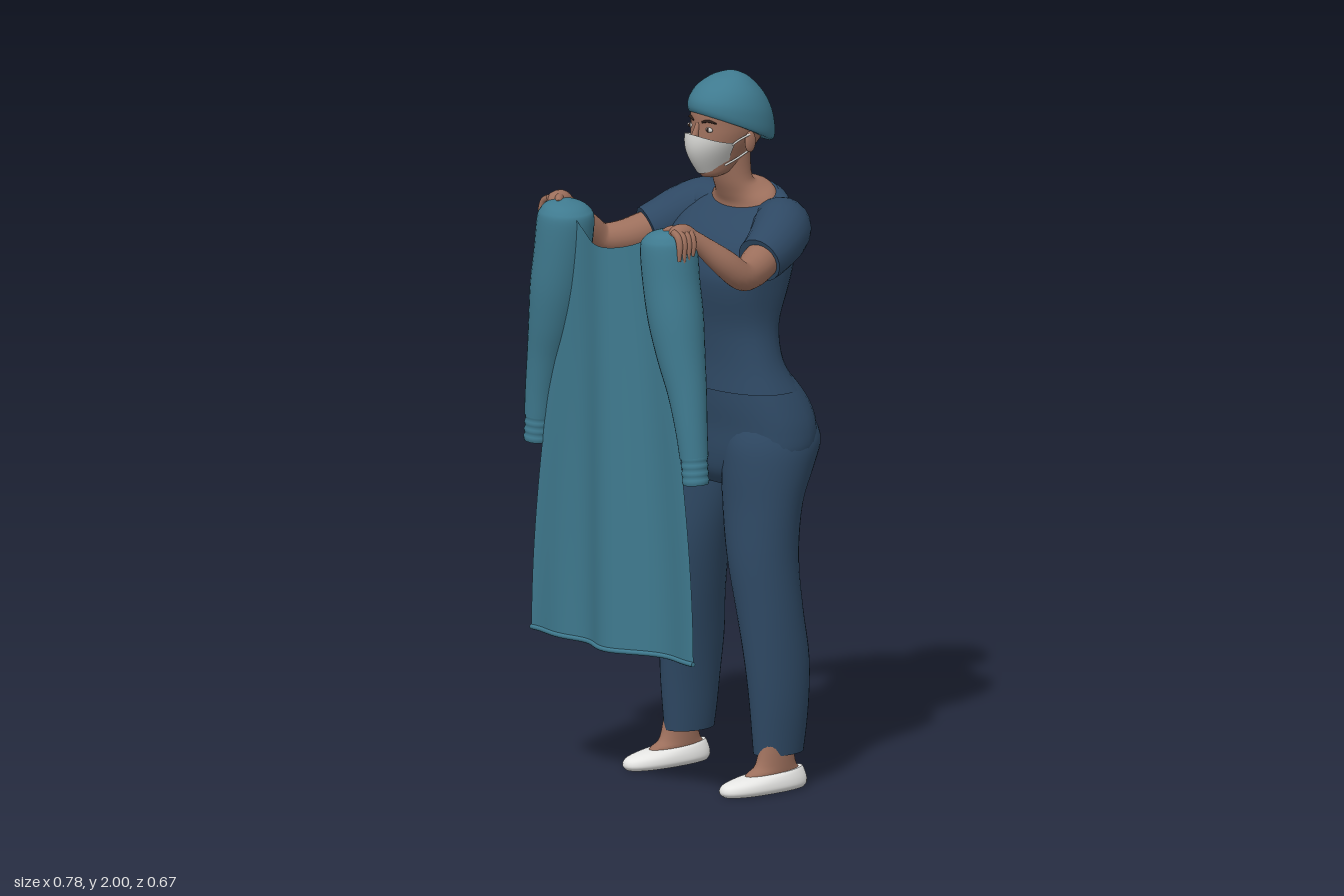
import * as THREE from 'three';
import { ParametricGeometry } from 'three/addons/geometries/ParametricGeometry.js';

const mat = (name, color, side = THREE.FrontSide) => {
  const m = new THREE.MeshStandardMaterial({ color, side });
  m.name = name;
  return m;
};

// Catmull-Rom through rows of numbers
function smooth(rows, sub) {
  const out = [], last = rows.length - 1;
  for (let i = 0; i < last; i++) {
    const a = rows[Math.max(i - 1, 0)], b = rows[i], c = rows[i + 1], d = rows[Math.min(i + 2, last)];
    for (let k = 0; k < sub; k++) {
      const t = k / sub;
      out.push(b.map((v, j) => v + 0.5 * t * (c[j] - a[j] + t * (2 * a[j] - 5 * v + 4 * c[j] - d[j]
        + t * (3 * (v - c[j]) + d[j] - a[j])))));
    }
  }
  out.push(rows[last]);
  return out;
}

// Closed skin over rings of points, with flat end caps
function skin(rings) {
  const n = rings[0].length;
  const centre = (ring) => {
    const c = ring.reduce((s, p) => s.add(p), new THREE.Vector3()).divideScalar(n);
    return ring.map(() => c);
  };
  const first = rings[0], end = rings[rings.length - 1];
  const all = [centre(first), first, ...rings, end, centre(end)];
  const index = [];
  for (let i = 0; i < all.length - 1; i++) {
    if (i === 1 || i === all.length - 3) continue;
    for (let j = 0; j < n; j++) {
      const k = (j + 1) % n, a = i * n + j, b = i * n + k;
      index.push(a, b, b + n, a, b + n, a + n);
    }
  }
  const g = new THREE.BufferGeometry().setFromPoints(all.flat());
  g.setIndex(index);
  g.computeVertexNormals();
  return g;
}

// Upright body: rows, upwards, of [y, halfWidth, frontZ, backZ, frontLift, roundness]
function loft(rows, cx = 0, sub = 4, n = 36) {
  const full = rows.map(([y, w, f, b, t = 0, e = 2]) => [y, w, f, b, t, e]);
  return skin(smooth(full, sub).map(([y, w, f, b, t, e]) => Array.from({ length: n }, (_, j) => {
    const a = (j / n) * Math.PI * 2, c = Math.cos(a), s = -Math.sin(a);
    const x = Math.sign(c) * Math.abs(c) ** (2 / e), z = Math.sign(s) * Math.abs(s) ** (2 / e);
    return new THREE.Vector3(cx + w * x, y + t * z, (f + b) / 2 + z * (f - b) / 2);
  })));
}

// Limb: points of [x, y, z, radius]
function limb(points, side = 1, ref = new THREE.Vector3(0, 1, 0), sub = 5, n = 20) {
  const rows = smooth(points.map(([x, y, z, r]) => [x * side, y, z, r]), sub);
  const pos = rows.map((r) => new THREE.Vector3(r[0], r[1], r[2]));
  return skin(rows.map((row, i) => {
    const t = pos[Math.min(i + 1, pos.length - 1)].clone().sub(pos[Math.max(i - 1, 0)]).normalize();
    const u = ref.clone().cross(t).normalize(), v = t.clone().cross(u);
    return Array.from({ length: n }, (_, j) => {
      const a = (j / n) * Math.PI * 2;
      return pos[i].clone().addScaledVector(u, row[3] * Math.cos(a)).addScaledVector(v, row[3] * Math.sin(a));
    });
  }));
}

export function createModel() {
  const teal = mat('teal cloth', 0x3f7a8f, THREE.DoubleSide);
  const navy = mat('navy cloth', 0x2e4863);
  const flesh = mat('skin', 0x9c6f5c);
  const white = mat('shoe white', 0xe6e6e4);
  const paper = mat('mask white', 0xcbcbc8, THREE.DoubleSide);
  const dark = mat('dark brown', 0x2b1d18);
  const model = new THREE.Group();
  const add = (name, geometry, material) => {
    const m = new THREE.Mesh(geometry, material);
    m.name = name;
    model.add(m);
    return m;
  };
  const blob = (name, material, pos, size) => {
    const m = add(name, new THREE.SphereGeometry(1, 20, 14), material);
    m.position.set(...pos);
    m.scale.set(...size);
  };
  const alongZ = new THREE.Vector3(0, 0, 1);

  // Torso
  add('shirt', loft([
    [1.12, 0.23, -0.03, -0.285, 0, 2.3], [1.2, 0.2, -0.032, -0.242, 0, 2.2],
    [1.3, 0.183, -0.022, -0.24, 0, 2.2], [1.4, 0.193, -0.002, -0.262, 0, 2.6],
    [1.46, 0.2, 0, -0.275, 0, 2.7], [1.53, 0.203, -0.025, -0.285, 0, 2.5],
    [1.59, 0.195, -0.07, -0.287, -0.01, 2.3], [1.635, 0.16, -0.115, -0.278, -0.025, 2.1],
    [1.648, 0.125, -0.133, -0.262, -0.03, 2]]), navy);
  add('neckAndChest', loft([
    [1.59, 0.14, -0.12, -0.265, -0.03], [1.648, 0.118, -0.132, -0.255, -0.03],
    [1.672, 0.08, -0.12, -0.235, -0.02], [1.7, 0.061, -0.1, -0.205], [1.78, 0.058, -0.08, -0.2]]), flesh);
  add('trouserSeat', loft([
    [0.84, 0.09, -0.09, -0.22], [0.88, 0.19, -0.06, -0.27], [0.94, 0.255, -0.05, -0.318, 0, 2.2],
    [1.01, 0.258, -0.048, -0.333, 0, 2.3], [1.08, 0.24, -0.04, -0.318, 0, 2.3],
    [1.15, 0.212, -0.036, -0.272, 0, 2.2], [1.18, 0.19, -0.04, -0.235]]), navy);

  // Head
  add('head', loft([
    [1.712, 0.025, -0.05, -0.1], [1.725, 0.042, -0.04, -0.14], [1.75, 0.055, -0.03, -0.185],
    [1.785, 0.07, -0.023, -0.215], [1.82, 0.086, -0.024, -0.24], [1.86, 0.096, -0.028, -0.255],
    [1.91, 0.096, -0.035, -0.255], [1.96, 0.06, -0.09, -0.2]]), flesh);
  add('nose', limb([[0, 1.868, -0.032, 0.006], [0, 1.84, -0.022, 0.009], [0, 1.815, -0.015, 0.012]], 1, alongZ), flesh);
  add('cap', loft([
    [1.842, 0.1, -0.036, -0.262, 0.052], [1.846, 0.107, -0.026, -0.274, 0.05],
    [1.87, 0.11, -0.02, -0.277, 0.042], [1.91, 0.106, -0.026, -0.266, 0.026],
    [1.95, 0.088, -0.05, -0.24, 0.014], [1.982, 0.056, -0.088, -0.202, 0.004],
    [1.996, 0.025, -0.125, -0.17], [2, 0.004, -0.143, -0.151]]), teal);

  // Face mask, curved round the chin and cheeks
  add('faceMask', new ParametricGeometry((u, v, p) => {
    const a = (u * 2 - 1) * 1.4, s2 = Math.sin(a) ** 2, front = -0.035 + 0.036 * Math.sin(v * 2.2);
    p.set((0.05 + 0.04 * v) * Math.sin(a), 1.723 + 0.115 * v + s2 * (0.022 - 0.044 * v),
      -0.11 + (front + 0.11) * Math.cos(a));
  }, 24, 10), paper);

  for (const s of [1, -1]) {
    const side = s > 0 ? 'left' : 'right';

    // Face details
    blob(side + 'Ear', flesh, [0.095 * s, 1.815, -0.14], [0.009, 0.03, 0.018]);
    blob(side + 'Eye', paper, [0.04 * s, 1.853, -0.038], [0.015, 0.007, 0.006]);
    blob(side + 'Iris', dark, [0.04 * s, 1.853, -0.034], [0.006, 0.006, 0.004]);
    add(side + 'Eyebrow', limb([[0.018, 1.872, -0.031, 0.003], [0.04, 1.878, -0.036, 0.004],
      [0.06, 1.872, -0.048, 0.002]], s), dark);
    add(side + 'UpperStrap', limb([[0.085, 1.812, -0.085, 0.003], [0.092, 1.825, -0.105, 0.003],
      [0.1, 1.838, -0.135, 0.003]], s), paper);
    add(side + 'LowerStrap', limb([[0.052, 1.748, -0.085, 0.003], [0.076, 1.77, -0.112, 0.003],
      [0.097, 1.797, -0.145, 0.003]], s), paper);

    // Arm
    add(side + 'ShirtSleeve', limb([[0.11, 1.585, -0.21, 0.065], [0.165, 1.58, -0.195, 0.082],
      [0.205, 1.56, -0.15, 0.08], [0.232, 1.535, -0.095, 0.072], [0.248, 1.518, -0.05, 0.066]], s), navy);
    add(side + 'Arm', limb([[0.23, 1.535, -0.1, 0.05], [0.255, 1.515, -0.045, 0.052],
      [0.285, 1.5, 0.01, 0.046], [0.312, 1.502, 0.065, 0.04], [0.308, 1.545, 0.12, 0.038],
      [0.288, 1.598, 0.18, 0.028], [0.274, 1.635, 0.225, 0.022]], s), flesh);

    // Hand holding the gown at its shoulder
    add(side + 'Palm', limb([[0.277, 1.628, 0.212, 0.021], [0.272, 1.64, 0.235, 0.026],
      [0.27, 1.638, 0.26, 0.026], [0.268, 1.63, 0.278, 0.014]], s), flesh);
    for (let i = 0; i < 4; i++) {
      const z = 0.229 + i * 0.016;
      add(side + 'Finger' + (i + 1), limb([[0.276, 1.65, z, 0.009], [0.298, 1.637, z, 0.01],
        [0.308, 1.61, z + 0.002, 0.009], [0.308, 1.565 + 0.008 * Math.abs(i - 2), z + 0.004, 0.005]], s, alongZ, 4, 10), flesh);
    }
    add(side + 'Thumb', limb([[0.272, 1.645, 0.24, 0.013], [0.25, 1.65, 0.262, 0.012],
      [0.233, 1.645, 0.277, 0.006]], s), flesh);

    // Leg and shoe
    add(side + 'TrouserLeg', loft([
      [0.1, 0.055, -0.08, -0.235], [0.2, 0.064, -0.072, -0.248], [0.36, 0.075, -0.06, -0.258],
      [0.5, 0.086, -0.05, -0.245], [0.65, 0.1, -0.04, -0.24], [0.8, 0.12, -0.045, -0.258],
      [0.9, 0.13, -0.046, -0.3], [0.98, 0.125, -0.055, -0.328], [1.06, 0.09, -0.09, -0.29]].map((r) => r), 0, 4)
      .applyMatrix4(new THREE.Matrix4()), navy);
    const leg = model.children[model.children.length - 1].geometry.attributes.position;
    for (let i = 0; i < leg.count; i++) {
      const y = leg.getY(i);
      leg.setX(i, leg.getX(i) + s * (0.198 - 0.066 * THREE.MathUtils.smoothstep(y, 0.2, 0.9)));
    }
    add(side + 'Foot', loft([[0.03, 0.034, -0.02, -0.215], [0.052, 0.036, -0.035, -0.215],
      [0.075, 0.036, -0.07, -0.2], [0.15, 0.035, -0.09, -0.185]], 0.213 * s), flesh);
    add(side + 'Shoe', loft([[0, 0.045, 0.045, -0.228, 0, 2.3], [0.012, 0.056, 0.056, -0.235, 0, 2.3],
      [0.03, 0.054, 0.048, -0.235, 0, 2.2], [0.045, 0.046, 0.015, -0.23, -0.004],
      [0.053, 0.037, -0.03, -0.224, -0.005]], 0.215 * s), white);

    // Hanging gown sleeve and its ribbed cuff
    add(side + 'GownSleeve', limb([[0.345, 1.02, 0.258, 0.04], [0.333, 1.1, 0.258, 0.045],
      [0.312, 1.2, 0.256, 0.055], [0.285, 1.3, 0.256, 0.068], [0.262, 1.4, 0.256, 0.078],
      [0.242, 1.5, 0.256, 0.08], [0.229, 1.595, 0.255, 0.08], [0.226, 1.625, 0.255, 0.069],
      [0.224, 1.642, 0.255, 0.045], [0.223, 1.65, 0.255, 0.006]], s, alongZ, 5, 28), teal);
    const ribs = Array.from({ length: 9 }, (_, i) =>
      [0.353 - i * 0.001, 0.945 + i * 0.0105, 0.258, i % 2 ? 0.0385 : 0.0355]);
    add(side + 'GownCuff', limb(ribs, s, alongZ, 2), teal);
  }

  // Gown front panel, widening downwards with soft folds
  const panelPoint = (u, v, p) => {
    const k = u * 2 - 1, x = k * (0.16 + 0.213 * (1 - (1 - v) ** 1.7));
    const top = 1.565 + 0.045 * k * k, bottom = 0.426 + 0.014 * k;
    return p.set(x, top + (bottom - top) * v,
      0.272 + 0.044 * Math.exp(-((x / 0.1) ** 2)) + 0.011 * v * Math.sin(k * 8));
  };
  add('gownPanel', new ParametricGeometry(panelPoint, 48, 24), teal);
  const hem = Array.from({ length: 25 }, (_, i) => [...panelPoint(i / 24, 1, new THREE.Vector3()).toArray(), 0.007]);
  add('gownHem', limb(hem, 1, new THREE.Vector3(0, 1, 0), 2, 10), teal);

  // Smooth the leg normals after bending
  model.children.forEach((m) => m.name.endsWith('TrouserLeg') && m.geometry.computeVertexNormals());
  return model;
}
